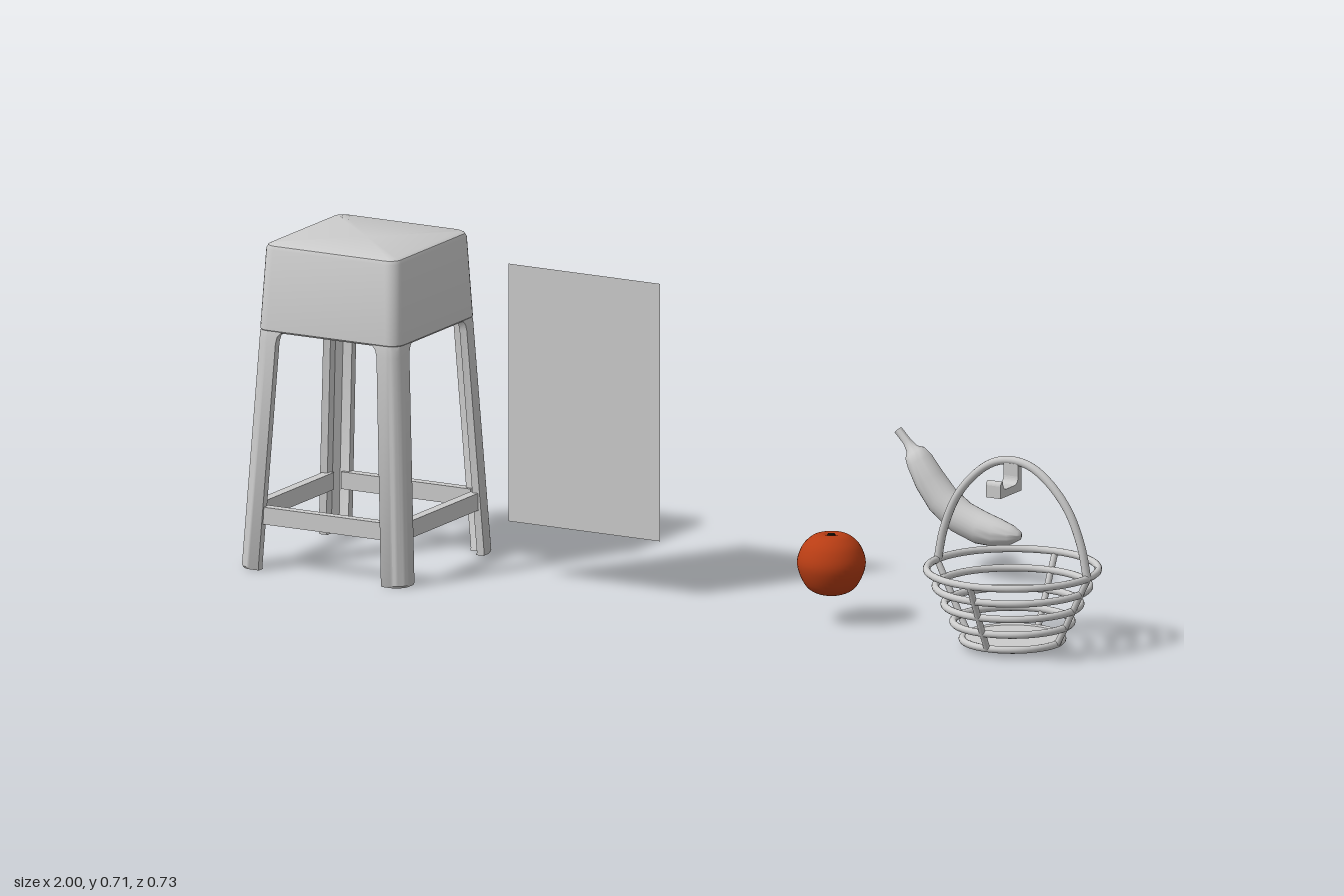
import * as THREE from 'three';
import { toCreasedNormals } from 'three/addons/utils/BufferGeometryUtils.js';

const grey = new THREE.MeshStandardMaterial({ color: 0xcccccc });
const greyThin = new THREE.MeshStandardMaterial({ color: 0xcccccc, side: THREE.DoubleSide });
const orangePeel = new THREE.MeshStandardMaterial({ color: 0xb83d14 });
const darkStem = new THREE.MeshStandardMaterial({ color: 0x1c1a10 });
const V = (x, y, z) => new THREE.Vector3(x, y, z);

function add(parent, name, geometry, material = grey) {
  const mesh = new THREE.Mesh(geometry, material);
  mesh.name = name;
  parent.add(mesh);
  return mesh;
}

// Skin a list of closed rings that all have the same number of points
function loft(rings, crease = 0.6, capStart = null) {
  const n = rings[0].length, index = [];
  for (let i = 0; i < rings.length - 1; i++) {
    for (let k = 0; k < n; k++) {
      const a = i * n + k, b = i * n + (k + 1) % n;
      index.push(a, b, b + n, a, b + n, a + n);
    }
  }
  if (capStart) {
    THREE.ShapeUtils.triangulateShape(capStart, []).forEach(([a, b, c]) => index.push(a, c, b));
  }
  const g = new THREE.BufferGeometry().setFromPoints(rings.flat());
  g.setIndex(index);
  return toCreasedNormals(g, crease);
}

// ---- Stool: hollow moulded seat, four angle-section legs, four rungs ----
function makeStool() {
  const stool = new THREE.Group();
  stool.name = 'stool';
  const half = y => 0.205 - 0.056 * y;

  const roundedSquare = (h, r, y) => {
    const pts = [];
    for (let c = 0; c < 4; c++) {
      for (let i = 0; i <= 6; i++) {
        const a = (c + i / 6) * Math.PI / 2, m = (c + 0.5) * Math.PI / 2;
        const cx = Math.sign(Math.cos(m)) * (h - r), cz = Math.sign(Math.sin(m)) * (h - r);
        pts.push(V(cx + r * Math.cos(a), y, -cz - r * Math.sin(a)));
      }
    }
    return pts;
  };
  const wall = 0.016, low = 0.523, top = 0.715;
  add(stool, 'seat', loft([
    roundedSquare(0, 0, top - wall),
    roundedSquare(half(top) - wall, 0.015, top - wall),
    roundedSquare(half(low) - wall, 0.015, low),
    roundedSquare(half(low) - 0.003, 0.027, low),
    roundedSquare(half(low), 0.03, low + 0.004),
    roundedSquare(half(0.703), 0.028, 0.703),
    roundedSquare(half(top) - 0.003, 0.026, 0.711),
    roundedSquare(half(top) - 0.011, 0.02, top),
    roundedSquare(0, 0, top),
  ]));

  // Angle section with a rounded outer corner; w is the width of each flange
  const angle = (h, w, t = 0.018, r = 0.03) => {
    const p = [new THREE.Vector2(h, h - w)];
    for (let i = 0; i <= 8; i++) {
      const a = i / 8 * Math.PI / 2;
      p.push(new THREE.Vector2(h - r + r * Math.cos(a), h - r + r * Math.sin(a)));
    }
    p.push(new THREE.Vector2(h - w, h), new THREE.Vector2(h - w, h - t));
    p.push(new THREE.Vector2(h - t - 0.012, h - t), new THREE.Vector2(h - t, h - t - 0.012));
    p.push(new THREE.Vector2(h - t, h - w));
    return p;
  };
  const levels = [[0, 0.05, 0.003], [0.005, 0.053, 0], [0.5, 0.052, 0], [0.515, 0.055, 0], [0.526, 0.064, 0.001]];
  const legGeometry = loft(
    levels.map(([y, w, inset]) => angle(half(y) - inset, w).map(p => V(p.x, y, -p.y))),
    0.6, angle(half(0) - 0.003, 0.05));
  const rungGeometry = new THREE.BoxGeometry(0.32, 0.038, 0.022);
  for (let i = 0; i < 4; i++) {
    add(stool, 'stoolLeg', legGeometry).rotation.y = i * Math.PI / 2;
    const side = new THREE.Group();
    side.name = 'stoolRung';
    side.rotation.y = i * Math.PI / 2;
    add(side, 'rung', rungGeometry).position.set(0, 0.12, 0.182);
    stool.add(side);
  }
  stool.position.set(-0.795, 0, 0.16);
  return stool;
}

// ---- Orange: dimpled ball with a small dark stem end ----
function makeOrange() {
  const orange = new THREE.Group();
  orange.name = 'orange';
  const profile = new THREE.SplineCurve([
    [0, -0.062], [0.025, -0.066], [0.055, -0.048], [0.074, -0.002], [0.064, 0.037],
    [0.042, 0.06], [0.022, 0.066], [0.01, 0.063], [0, 0.057],
  ].map(p => new THREE.Vector2(...p))).getPoints(40);
  profile.forEach(p => { p.x = Math.max(p.x, 0); });
  add(orange, 'orangeBody', new THREE.LatheGeometry(profile, 40), orangePeel);
  add(orange, 'orangeStem', new THREE.CylinderGeometry(0.008, 0.011, 0.01, 8), darkStem).position.y = 0.061;
  orange.position.set(0.355, 0.129, 0.16);
  return orange;
}

// ---- Banana: curved loft; each station is x, y, in-plane radius, z radius ----
function makeBanana() {
  const stations = [
    [0.240, 0.307, 0, 0], [0.240, 0.307, 0.009, 0.010], [0.262, 0.284, 0.009, 0.010],
    [0.274, 0.269, 0.013, 0.014], [0.281, 0.261, 0.023, 0.026], [0.293, 0.245, 0.028, 0.033],
    [0.318, 0.206, 0.033, 0.036], [0.350, 0.166, 0.036, 0.036], [0.395, 0.133, 0.037, 0.036],
    [0.445, 0.115, 0.036, 0.036], [0.485, 0.109, 0.031, 0.033], [0.520, 0.108, 0.021, 0.023],
    [0.540, 0.109, 0.010, 0.011], [0.545, 0.110, 0, 0],
  ];
  const rings = stations.map(([x, y, rn, rz], i) => {
    const p = stations[Math.max(i - 1, 0)], q = stations[Math.min(i + 1, stations.length - 1)];
    const t = new THREE.Vector2(q[0] - p[0], q[1] - p[1]).normalize();
    return Array.from({ length: 24 }, (_, k) => {
      const a = k / 24 * Math.PI * 2, c = Math.cos(a) * rn;
      return V(x - t.y * c, y + t.x * c, -0.333 + Math.sin(a) * rz);
    });
  });
  const mesh = new THREE.Mesh(loft(rings, 0.8), grey);
  mesh.name = 'banana';
  return mesh;
}

// ---- Basket: five hoops, four ribs, base disc, arched handle and hook ----
function makeBasket() {
  const basket = new THREE.Group();
  basket.name = 'basket';
  const tube = (points, r, segments) =>
    new THREE.TubeGeometry(new THREE.CatmullRomCurve3(points), segments, r, 12);

  const hoops = [[0.017, 0.108], [0.055, 0.128], [0.094, 0.147], [0.133, 0.166], [0.171, 0.185]];
  hoops.forEach(([y, r]) => {
    const hoop = add(basket, 'basketHoop', new THREE.TorusGeometry(r, 0.008, 12, 56));
    hoop.rotation.x = Math.PI / 2;
    hoop.position.y = y;
  });
  const ribGeometry = tube(hoops.map(([y, r]) => V(r + 0.002, y, 0)), 0.007, 12);
  for (let i = 0; i < 4; i++) add(basket, 'basketRib', ribGeometry).rotation.y = i * Math.PI / 2;
  add(basket, 'basketBase', new THREE.CylinderGeometry(0.11, 0.107, 0.012, 48)).position.y = 0.016;

  const arch = [[0.185, 0.168], [0.17, 0.24], [0.138, 0.315], [0.09, 0.372], [0.045, 0.402]];
  add(basket, 'basketHandle', tube([
    ...arch.map(([x, y]) => V(-x, y, 0)), V(0, 0.411, 0), ...arch.reverse().map(([x, y]) => V(x, y, 0)),
  ], 0.009, 64));

  // Hook outline in (z, y), extruded across x
  const s = new THREE.Shape();
  s.moveTo(-0.007, 0.345);
  s.lineTo(0.084, 0.345);
  s.lineTo(0.084, 0.372);
  s.quadraticCurveTo(0.082, 0.382, 0.073, 0.381);
  s.quadraticCurveTo(0.072, 0.362, 0.058, 0.362);
  s.lineTo(0.024, 0.362);
  s.quadraticCurveTo(0.009, 0.362, 0.007, 0.378);
  s.lineTo(0.007, 0.408);
  s.lineTo(-0.007, 0.408);
  const hook = add(basket, 'basketHook',
    new THREE.ExtrudeGeometry(s, { depth: 0.036, bevelEnabled: false, curveSegments: 8 }));
  hook.rotation.y = -Math.PI / 2;
  hook.position.x = 0.018;
  basket.position.set(0.803, 0, 0.16);
  return basket;
}

export function createModel() {
  const model = new THREE.Group();
  model.name = 'stoolAndFruitSet';
  model.add(makeStool(), makeOrange(), makeBanana(), makeBasket());
  // Thin upright sheet
  add(model, 'poster', new THREE.PlaneGeometry(0.375, 0.57), greyThin).position.set(-0.257, 0.412, 0.16);
  return model;
}
